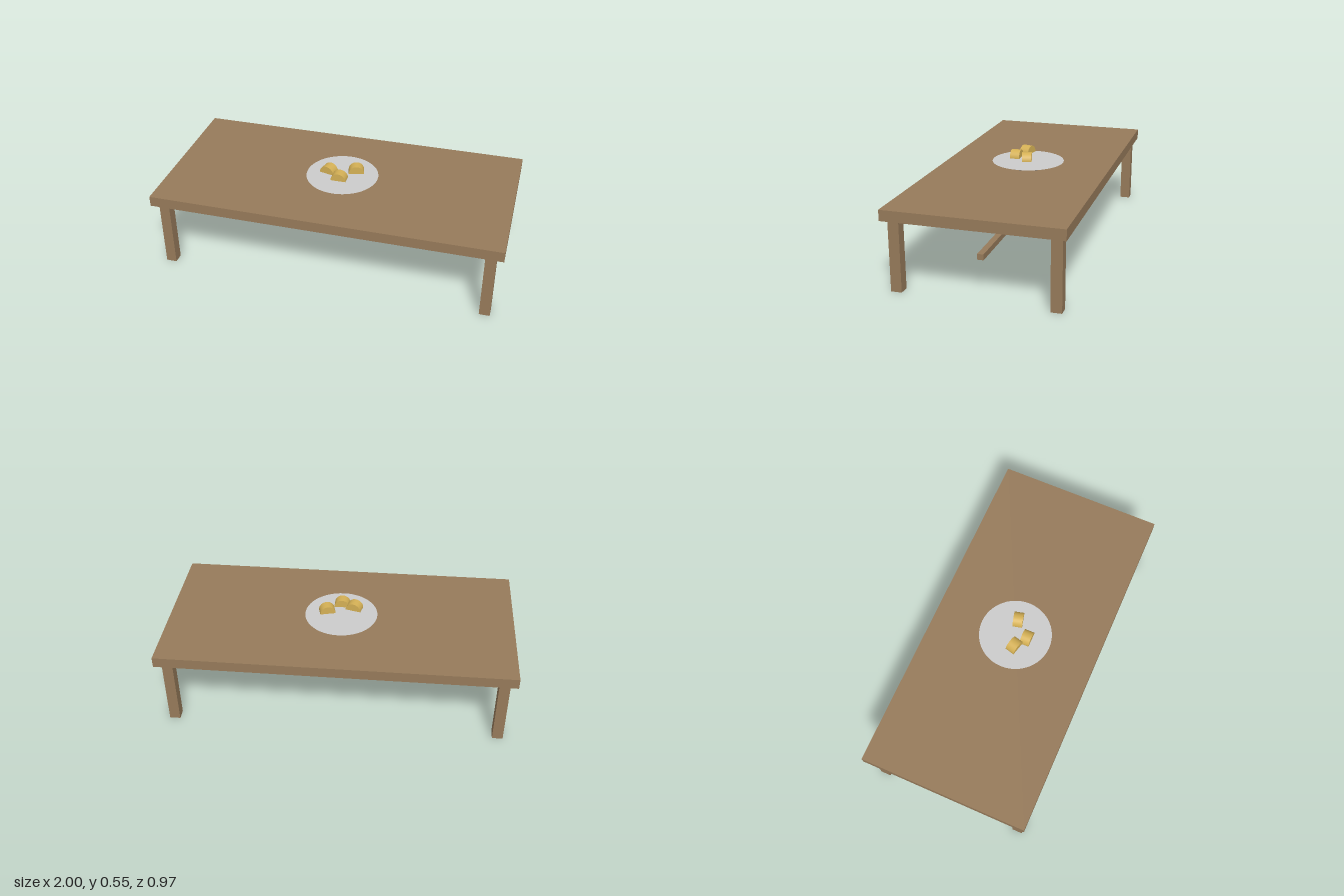
import * as THREE from 'three';
import { mergeGeometries } from 'three/addons/utils/BufferGeometryUtils.js';

const wood = new THREE.MeshStandardMaterial({ color: 0x967a5a });
const china = new THREE.MeshStandardMaterial({ color: 0xcccccc });
const crust = new THREE.MeshStandardMaterial({ color: 0xd4b055 });

function add(parent, name, geometry, material, x, y, z) {
  const mesh = new THREE.Mesh(geometry, material);
  mesh.name = name;
  mesh.position.set(x, y, z);
  parent.add(mesh);
  return mesh;
}

// Half cylinder lying along z, flat side down at y = 0
function halfRoundGeometry(radius, length) {
  const dome = new THREE.CylinderGeometry(radius, radius, length, 16, 1, false, Math.PI / 2, Math.PI);
  dome.rotateX(Math.PI / 2);
  const base = new THREE.PlaneGeometry(radius * 2, length).rotateX(Math.PI / 2);
  return mergeGeometries([dome, base]);
}

export function createModel() {
  const model = new THREE.Group();
  model.name = 'tableWithPlate';

  // Table: top, four legs and a central stretcher
  add(model, 'tableTop', new THREE.BoxGeometry(2, 0.06, 0.97), wood, 0, 0.43, 0);
  const legGeometry = new THREE.BoxGeometry(0.06, 0.4, 0.06);
  for (const [side, x] of [['left', 0.93], ['right', -0.93]]) {
    for (const [end, z] of [['Front', 0.428], ['Back', -0.428]]) {
      add(model, `${side}${end}Leg`, legGeometry, wood, x, 0.2, z);
    }
  }
  add(model, 'stretcher', new THREE.BoxGeometry(1.714, 0.032, 0.034), wood, 0, 0.205, 0);

  // Plate: flat disc flaring towards the rim
  add(model, 'plate', new THREE.CylinderGeometry(0.21, 0.15, 0.02, 48), china, 0, 0.47, 0);

  // Bread pieces hovering just above the plate
  const breadGeometry = halfRoundGeometry(0.045, 0.056);
  const pieces = [
    [0, 0.495, 0.072, 0],
    [-0.074, 0.505, 0.026, -0.25],
    [0.08, 0.505, -0.016, 0.25],
  ];
  pieces.forEach(([x, y, z, turn], i) => {
    add(model, `breadPiece${i + 1}`, breadGeometry, crust, x, y, z).rotation.y = turn;
  });

  return model;
}
